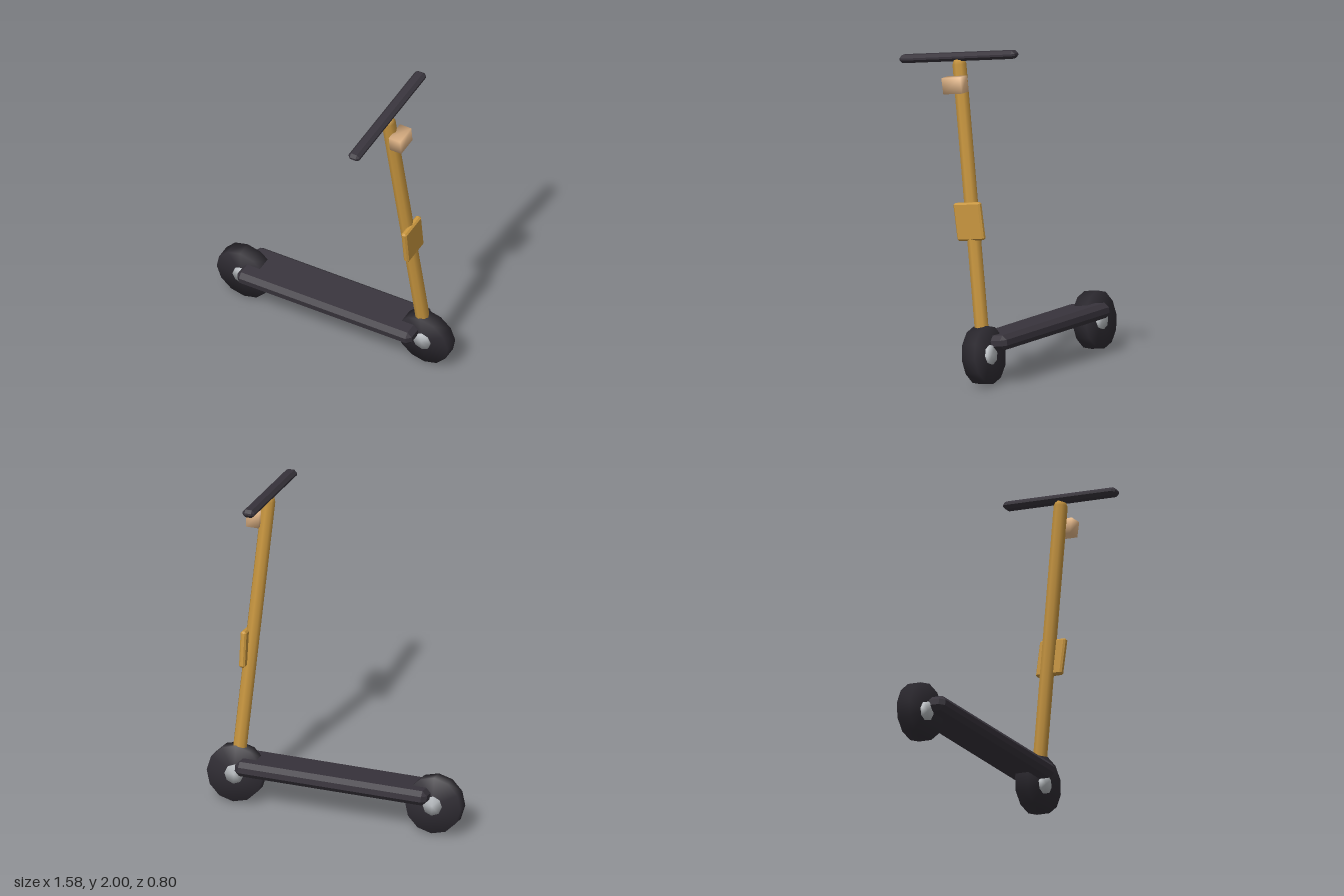
import * as THREE from 'three';
import { mergeVertices } from 'three/addons/utils/BufferGeometryUtils.js';
import { ConvexGeometry } from 'three/addons/geometries/ConvexGeometry.js';

const material = (color) => new THREE.MeshStandardMaterial({ color });

// Box with every edge cut at 45 degrees
function chamferBox(w, h, d, c) {
  const points = [];
  for (const x of [-w / 2, w / 2])
    for (const y of [-h / 2, h / 2])
      for (const z of [-d / 2, d / 2])
        for (let full = 0; full < 3; full++) {
          const p = [x, y, z].map((v, i) => (i === full ? v : v - Math.sign(v) * c));
          points.push(new THREE.Vector3(...p));
        }
  return new ConvexGeometry(points);
}

// Weld the corners so shading runs softly over the edges
function soften(geometry) {
  geometry.deleteAttribute('normal');
  geometry.deleteAttribute('uv');
  const welded = mergeVertices(geometry, 1e-4);
  welded.computeVertexNormals();
  return welded;
}

export function createModel() {
  const model = new THREE.Group();
  model.name = 'scooter';

  // The whole scooter leans sideways about its axle line
  const body = new THREE.Group();
  body.name = 'leaningBody';
  body.position.set(0, 0.18, -0.245);
  body.rotation.x = 0.14;
  model.add(body);

  const dark = material(0x38343c);
  const rubber = material(0x2f2c33);
  const silver = material(0xb8bcc0);
  const gold = material(0xc8963f);
  const peach = material(0xe6b98a);

  function add(name, geometry, mat, x, y, z, parent = body) {
    const mesh = new THREE.Mesh(geometry, mat);
    mesh.name = name;
    mesh.position.set(x, y, z);
    parent.add(mesh);
    return mesh;
  }

  // Wheels with protruding hubs
  for (const [name, x] of [['rearWheel', -0.617], ['frontWheel', 0.617]]) {
    const wheel = new THREE.Group();
    wheel.name = name;
    wheel.position.x = x;
    body.add(wheel);
    const tyre = new THREE.CylinderGeometry(0.173, 0.173, 0.09, 12).rotateX(Math.PI / 2);
    const hub = new THREE.CylinderGeometry(0.058, 0.058, 0.118, 8).rotateX(Math.PI / 2);
    add('tyre', soften(tyre), rubber, 0, 0, 0, wheel);
    add('hub', soften(hub), silver, 0, 0, 0, wheel);
  }

  // Deck
  add('deck', chamferBox(1.195, 0.09, 0.285, 0.028), dark, -0.003, 0.06, 0.003);

  // Raked stem from the front axle to the handlebar
  const bottom = new THREE.Vector3(0.612, 0.06, 0);
  const top = new THREE.Vector3(0.5, 1.76, 0);
  const along = top.clone().sub(bottom);
  const middle = bottom.clone().add(top).multiplyScalar(0.5);
  const radius = 0.042;
  const stem = add('stem',
    new THREE.CapsuleGeometry(radius, along.length() - 2 * radius, 2, 8),
    gold, middle.x, middle.y, middle.z);
  stem.quaternion.setFromUnitVectors(new THREE.Vector3(0, 1, 0), along.normalize());

  // Handlebar, front plate and headlight
  add('handlebar', chamferBox(0.076, 0.048, 0.805, 0.018), dark, 0.498, 1.762, 0);
  add('frontPlate', chamferBox(0.037, 0.226, 0.185, 0.01), gold, 0.592, 0.793, 0.004);
  add('headlight', soften(new THREE.BoxGeometry(0.078, 0.097, 0.13)), peach, 0.576, 1.606, 0);

  return model;
}
